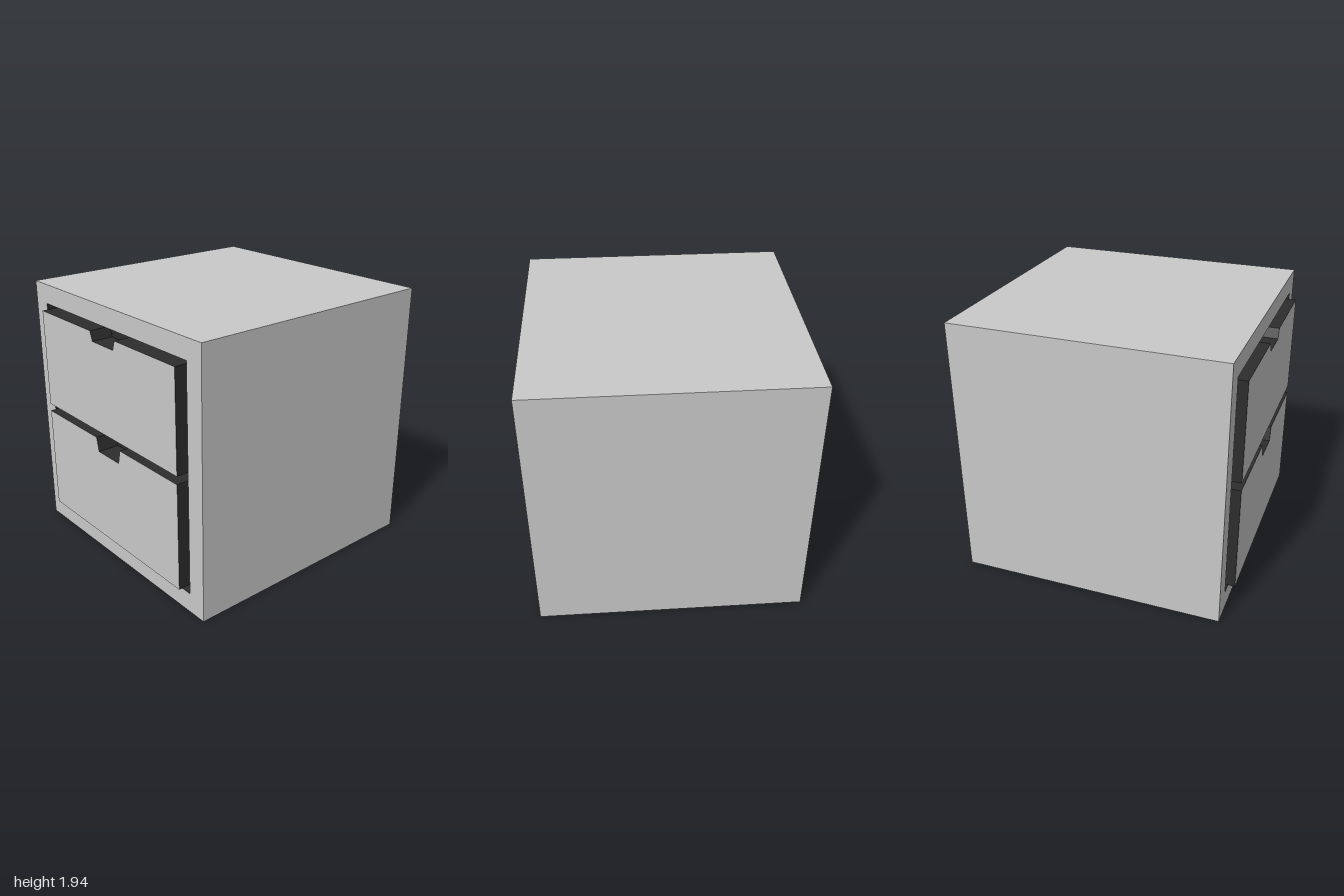
import * as THREE from 'three';

const grey = new THREE.MeshStandardMaterial({ color: 0xc9c9c9 });
grey.name = 'light grey';
const dark = new THREE.MeshStandardMaterial({ color: 0x2d2d2d });
dark.name = 'charcoal';

const WIDTH = 1.934, HEIGHT = 1.94, BACK = -1, FRONT = 0.94;
const OPENING = { x: 0.825, bottom: 0.145, top: 1.795, depth: 0.4 };
const DRAWER = { x: 0.788, front: 1, thickness: 0.16 };

function add(parent, name, geometry, material) {
  const mesh = new THREE.Mesh(geometry, material);
  mesh.name = name;
  parent.add(mesh);
  return mesh;
}

// Box without its +z face; inward turns the remaining faces to the inside
function openBox(w, h, d, inward = false) {
  const geometry = new THREE.BoxGeometry(w, h, d);
  const index = Array.from(geometry.index.array);
  index.splice(24, 6);
  if (inward) index.reverse();
  geometry.setIndex(index);
  geometry.clearGroups();
  return geometry;
}

function polygon(points) {
  return points.map(([x, y]) => new THREE.Vector2(x, y));
}

// Cabinet shell, front frame and dark recess
function createCabinet() {
  const cabinet = new THREE.Group();
  cabinet.name = 'cabinet';
  add(cabinet, 'shell', openBox(WIDTH, HEIGHT, FRONT - BACK), grey)
    .position.set(0, HEIGHT / 2, (FRONT + BACK) / 2);

  const w = WIDTH / 2, { x, bottom, top, depth } = OPENING;
  const frame = new THREE.Shape(polygon([[-w, 0], [w, 0], [w, HEIGHT], [-w, HEIGHT]]));
  frame.holes.push(new THREE.Path(polygon([[-x, bottom], [-x, top], [x, top], [x, bottom]])));
  add(cabinet, 'frontFrame', new THREE.ShapeGeometry(frame), grey).position.z = FRONT;

  add(cabinet, 'recess', openBox(2 * x, top - bottom, depth, true), dark)
    .position.set(0, (top + bottom) / 2, FRONT - depth / 2);
  return cabinet;
}

// Drawer with a tapered finger notch in its upper edge
function createDrawer(name, bottom, top, notchDepth) {
  const drawer = new THREE.Group();
  drawer.name = name;
  const { x, front, thickness } = DRAWER;
  const notch = top - notchDepth;
  const face = new THREE.Shape(polygon([
    [-x, bottom], [x, bottom], [x, top],
    [0.147, top], [0.123, notch], [-0.123, notch], [-0.147, top], [-x, top],
  ]));
  const panel = new THREE.ExtrudeGeometry(face, { depth: thickness, bevelEnabled: false });
  add(drawer, 'drawerFront', panel, [grey, dark]).position.z = front - thickness;

  // Drawer body closes the back of the notch
  const backZ = FRONT - OPENING.depth, bodyFront = front - thickness;
  add(drawer, 'drawerBody', new THREE.BoxGeometry(2 * x, top - bottom, bodyFront - backZ), dark)
    .position.set(0, (top + bottom) / 2, (bodyFront + backZ) / 2);
  return drawer;
}

export function createModel() {
  const model = new THREE.Group();
  model.name = 'drawerCabinet';
  model.add(
    createCabinet(),
    createDrawer('upperDrawer', 1.03, 1.76, 0.07),
    createDrawer('lowerDrawer', 0.185, 0.972, 0.104),
  );
  return model;
}
